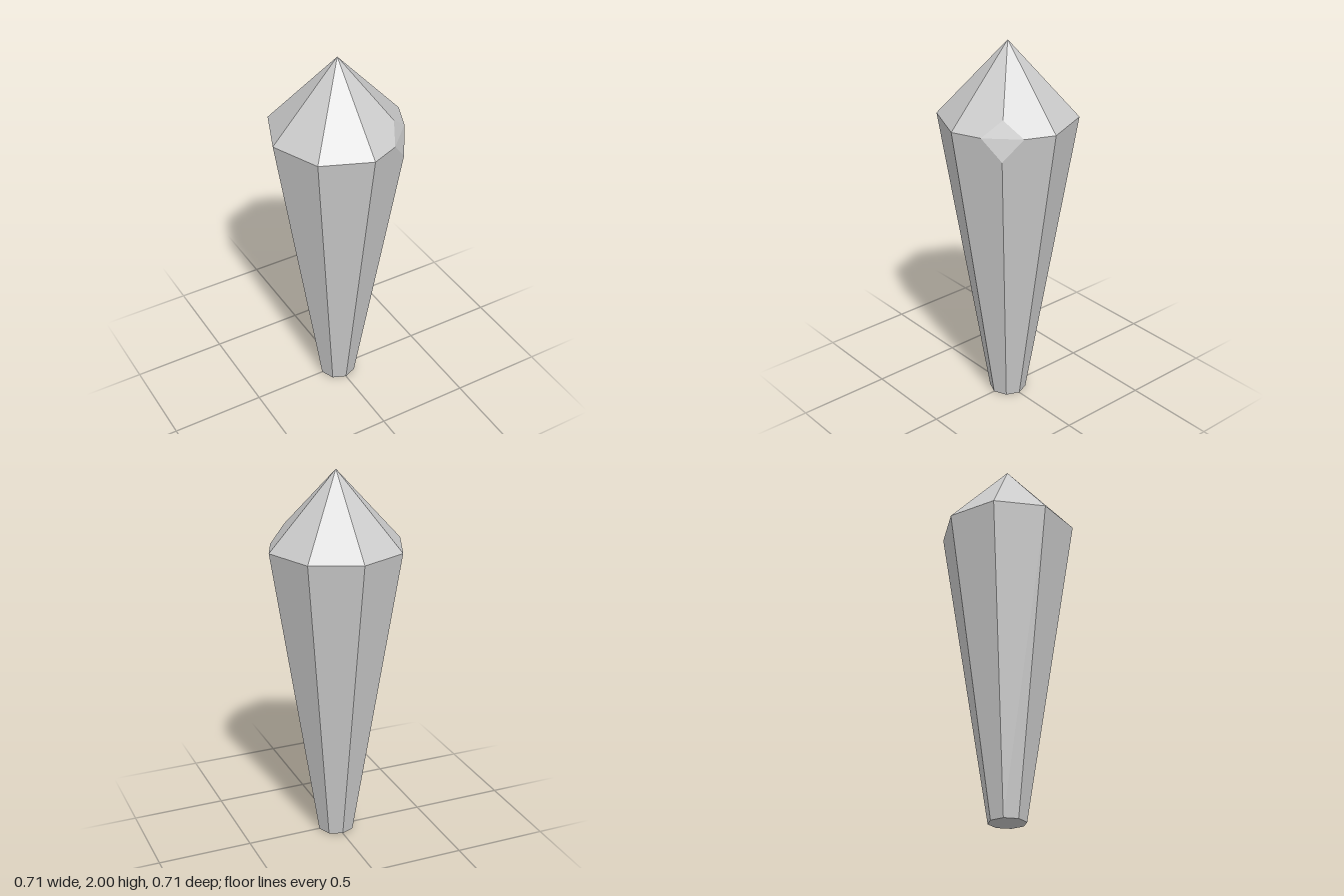
import * as THREE from 'three';
import { ConvexGeometry } from 'three/addons/geometries/ConvexGeometry.js';

const SIDES = 8;

// Octagonal ring of corners at height y
function ring(radius, y) {
  return Array.from({ length: SIDES }, (_, i) => {
    const a = (i / SIDES) * Math.PI * 2;
    return new THREE.Vector3(Math.cos(a) * radius, y, Math.sin(a) * radius);
  });
}

export function createModel() {
  const group = new THREE.Group();
  group.name = 'crystal';

  const base = ring(0.098, 0);
  const shoulder = ring(0.357, 1.61);
  const tip = new THREE.Vector3(0, 2, 0);

  // The front left shoulder corner is chipped: cut back along its four edges
  const corner = shoulder[1];
  const cutTowards = (target, t) => corner.clone().lerp(target, t);
  const chip = [
    cutTowards(tip, 0.21),
    cutTowards(shoulder[0], 0.41),
    cutTowards(shoulder[2], 0.41),
    cutTowards(base[1], 0.07),
  ];

  const points = [...base, ...shoulder.filter((p) => p !== corner), ...chip, tip];
  const crystal = new THREE.Mesh(
    new ConvexGeometry(points),
    new THREE.MeshStandardMaterial({ color: 0xcccccc, flatShading: true })
  );
  crystal.name = 'crystalShard';
  group.add(crystal);
  return group;
}
